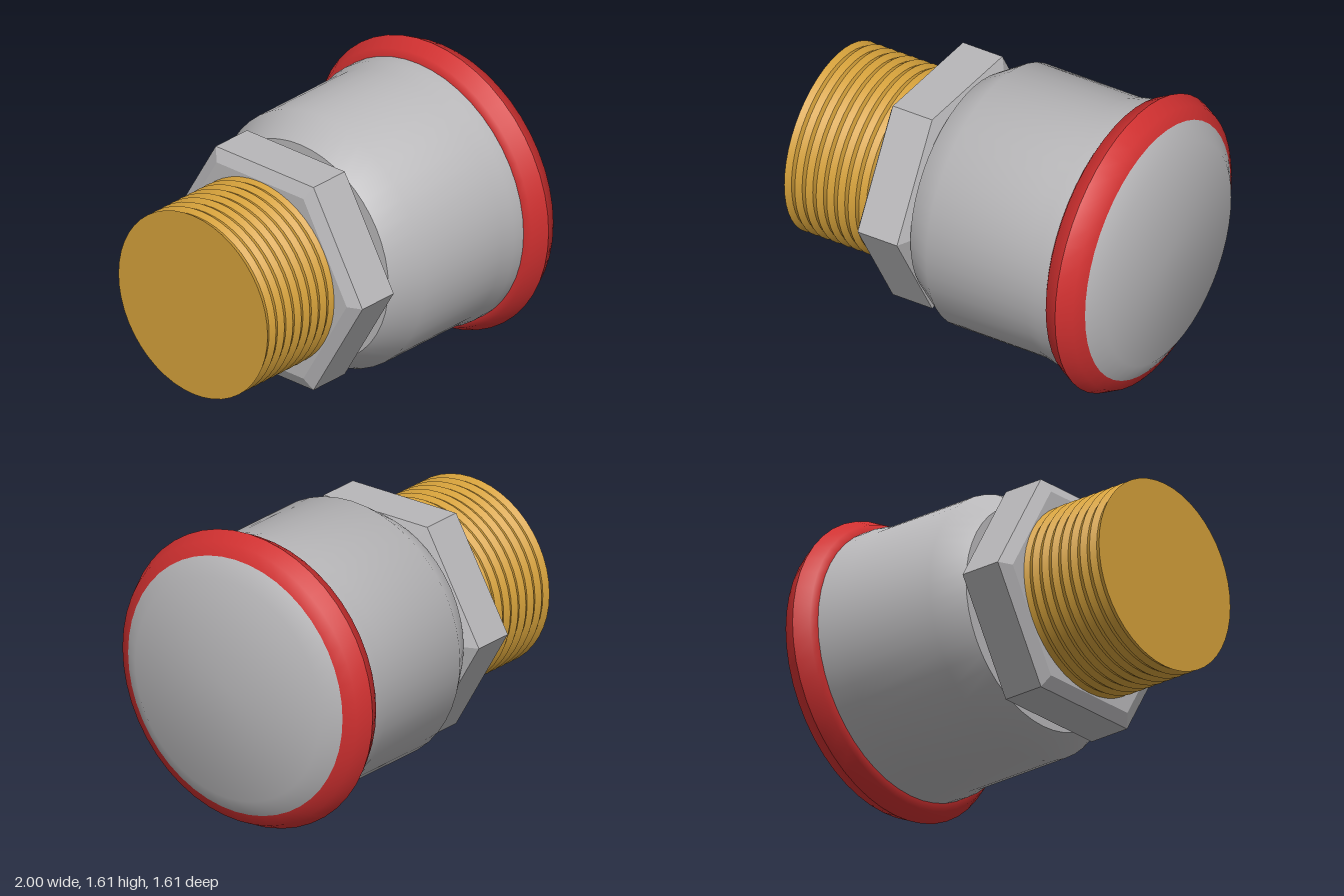
import * as THREE from 'three';
import { toCreasedNormals } from 'three/addons/utils/BufferGeometryUtils.js';

const AXIS_Y = 0.807;

const mat = (name, color) => {
  const m = new THREE.MeshStandardMaterial({ color });
  m.name = name;
  return m;
};

// Revolves [x, radius] pairs around the horizontal fitting axis.
function turned(name, profile, segments, crease, material) {
  const points = profile.map(([x, r]) => new THREE.Vector2(r, x));
  const lathe = new THREE.LatheGeometry(points, segments).rotateZ(-Math.PI / 2);
  const mesh = new THREE.Mesh(toCreasedNormals(lathe, crease), material);
  mesh.name = name;
  mesh.position.y = AXIS_Y;
  return mesh;
}

export function createModel() {
  const steel = mat('steel grey', 0xb8b7b9);
  const brass = mat('brass', 0xd4a03a);
  const red = mat('red', 0xd03030);
  const group = new THREE.Group();
  group.name = 'pipeFitting';

  // Male thread: closed end, then alternating crests and roots
  const teeth = 8, start = -1, end = -0.485;
  const thread = [[start, 0]];
  for (let i = 0; i <= teeth * 2; i++) {
    thread.push([start + (end - start) * i / (teeth * 2), i % 2 ? 0.498 : 0.516]);
  }
  thread.push([end, 0]);
  group.add(turned('maleThread', thread, 48, 0.65, brass));

  // Hexagonal nut with chamfered ends, corners pointing to front and back
  group.add(turned('hexNut', [
    [-0.49, 0], [-0.49, 0.6], [-0.455, 0.677],
    [-0.217, 0.677], [-0.178, 0.59], [-0.178, 0],
  ], 6, 0.1, steel));

  // Socket body with tapered shoulder and slightly flared mouth
  group.add(turned('socketBody', [
    [-0.18, 0], [-0.18, 0.607], [-0.02, 0.71], [0.57, 0.71],
    [0.645, 0.727], [0.8, 0.727],
  ], 48, 0.65, steel));

  // Red marker ring around the bead
  group.add(turned('markerRing', [
    [0.717, 0.7], [0.717, 0.73], [0.737, 0.764], [0.82, 0.807],
    [0.902, 0.766], [0.936, 0.702],
  ], 48, 0.65, red));

  // Bevelled closing face
  group.add(turned('endCap', [
    [0.936, 0.702], [1, 0.605], [1, 0],
  ], 48, 0.65, steel));

  return group;
}
